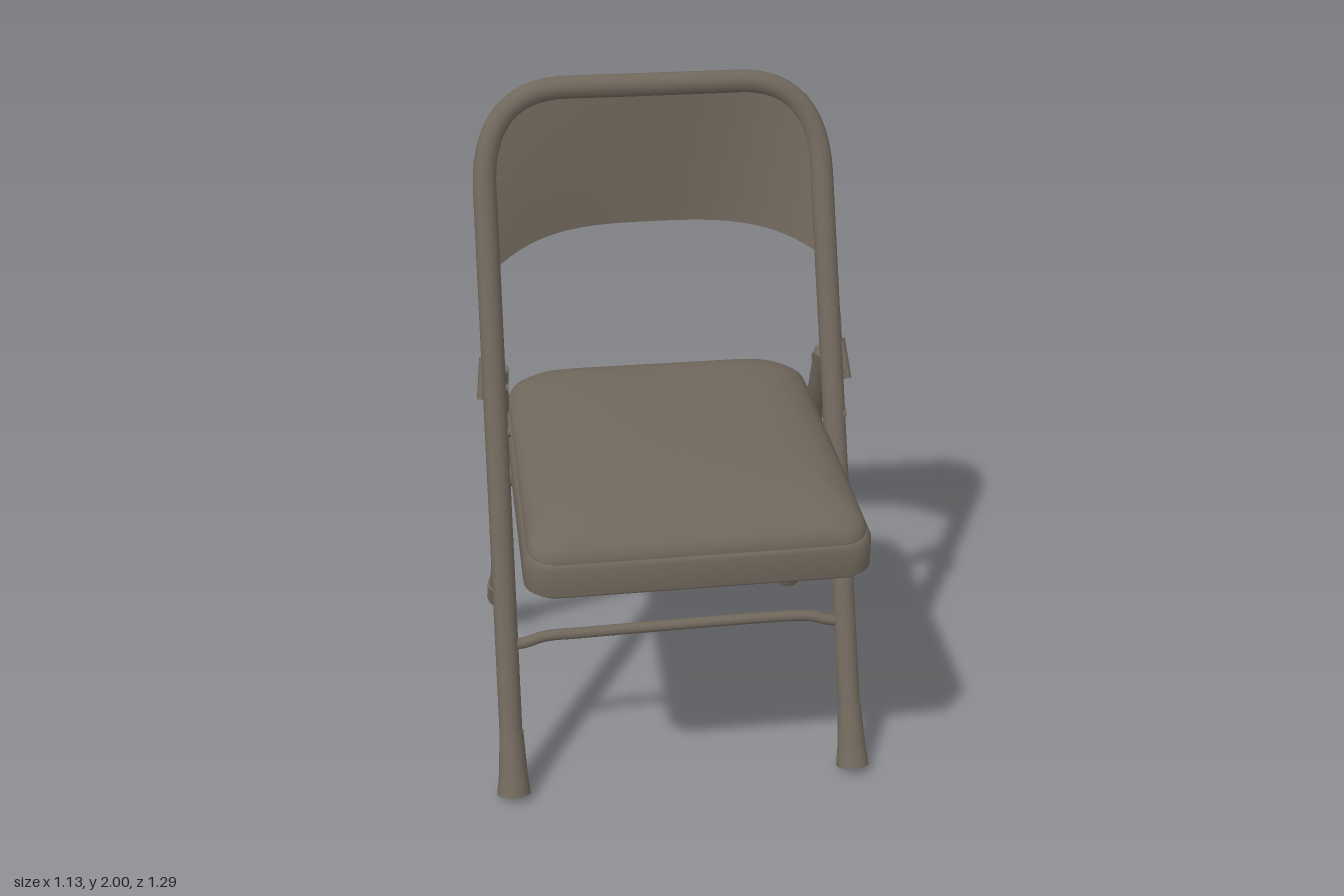
import * as THREE from 'three';

const paint = new THREE.MeshStandardMaterial({ color: 0x70675c, side: THREE.DoubleSide });
paint.name = 'brownGreyPaint';

const V = (x, y, z) => new THREE.Vector3(x, y, z);
const frameZ = (y) => 0.355 - 0.352 * y; // slanted plane of the main frame
const UP = V(0, 1, 0);

function add(parent, name, geometry) {
  const mesh = new THREE.Mesh(geometry, paint);
  mesh.name = name;
  parent.add(mesh);
  return mesh;
}

// Cylinder or cone between two points
function rod(parent, name, a, b, ra, rb = ra, sides = 16) {
  const mesh = add(parent, name, new THREE.CylinderGeometry(rb, ra, a.distanceTo(b), sides));
  mesh.position.copy(a).lerp(b, 0.5);
  mesh.quaternion.setFromUnitVectors(UP, b.clone().sub(a).normalize());
  return mesh;
}

// Flat strip in the side plane, with rounded ends
function strip(parent, name, x, a, b, half, thick) {
  const len = Math.hypot(b[0] - a[0], b[1] - a[1]);
  const s = new THREE.Shape();
  s.absarc(0, 0, half, Math.PI / 2, Math.PI * 1.5);
  s.absarc(len, 0, half, -Math.PI / 2, Math.PI / 2);
  s.closePath();
  const g = new THREE.ExtrudeGeometry(s, { depth: thick, bevelEnabled: false, curveSegments: 8 });
  g.translate(0, 0, -thick / 2);
  g.rotateZ(Math.atan2(b[1] - a[1], -(b[0] - a[0])));
  g.rotateY(Math.PI / 2); // local x now runs along -z
  g.translate(x, a[1], a[0]);
  return add(parent, name, g);
}

// Grid of points skinned into a smooth surface
function skin(rows) {
  const pos = [], idx = [], n = rows[0].length;
  rows.forEach((r) => r.forEach((p) => pos.push(p.x, p.y, p.z)));
  for (let i = 0; i < rows.length - 1; i++) {
    for (let j = 0; j < n - 1; j++) {
      const a = i * n + j, b = a + n;
      idx.push(a, b, a + 1, a + 1, b, b + 1);
    }
  }
  const g = new THREE.BufferGeometry();
  g.setAttribute('position', new THREE.Float32BufferAttribute(pos, 3));
  g.setIndex(idx);
  g.computeVertexNormals();
  return g;
}

// Rounded seat outline pulled in by an inset, at a height on the tilted seat
function seatRing(inset, h) {
  const pts = [], hx = 0.472 - inset, z0 = -0.378 + inset, z1 = 0.645 - inset;
  const corners = [[1, z1, 1, 0.08], [-1, z1, 1, 0.08], [-1, z0, -1, 0.12], [1, z0, -1, 0.12]];
  corners.forEach(([sx, zc, sz, rad], k) => {
    const r = Math.min(rad + inset * 0.3, hx);
    for (let i = 0; i <= 8; i++) {
      const a = (k + i / 8) * Math.PI / 2;
      const z = zc - sz * r + Math.sin(a) * r;
      pts.push(V(sx * (hx - r) + Math.abs(Math.cos(a)) * sx * r, h + 0.08 * (0.645 - z) / 1.02, z));
    }
  });
  pts.push(pts[0].clone());
  return pts;
}

export function createModel() {
  const chair = new THREE.Group();
  chair.name = 'foldingChair';

  // Main frame: one bent tube from foot to foot
  const P = (x, y) => V(x, y, frameZ(y));
  const path = new THREE.CurvePath();
  path.add(new THREE.LineCurve3(P(-0.517, 0.06), P(-0.5, 1.7)));
  path.add(new THREE.QuadraticBezierCurve3(P(-0.5, 1.7), P(-0.495, 1.967), P(-0.25, 1.967)));
  path.add(new THREE.LineCurve3(P(-0.25, 1.967), P(0.25, 1.967)));
  path.add(new THREE.QuadraticBezierCurve3(P(0.25, 1.967), P(0.485, 1.967), P(0.487, 1.7)));
  path.add(new THREE.LineCurve3(P(0.487, 1.7), P(0.515, 0.06)));
  add(chair, 'mainFrame', new THREE.TubeGeometry(path, 160, 0.034, 14));

  // Backrest: sheet that follows the front of the tube and bows backwards at its lower edge
  const topY = (x) => {
    const t = Math.max(0, (Math.abs(x) - 0.25) / 0.25);
    return 1.967 - 0.267 * (1 - Math.sqrt(Math.max(0, 1 - t * t)));
  };
  const lower = (s) => V(0.482 * s - 0.004, 1.48 + 0.08 * (1 - s ** 4),
    -0.18 - 0.14 * (1 - Math.abs(s) ** 2.5));
  const rows = [];
  for (let i = 0; i <= 10; i++) {
    const row = [];
    for (let j = 0; j <= 40; j++) {
      const s = j / 20 - 1, b = lower(s), y = topY(b.x);
      row.push(V(b.x, y + 0.006, frameZ(y) + 0.018).lerp(b, i / 10));
    }
    rows.push(row);
  }
  add(chair, 'backrestPanel', skin(rows));

  // Seat: pan with hollow underside, and a domed cushion
  const seat = new THREE.Group();
  seat.name = 'seat';
  chair.add(seat);
  const ringSkin = (list) => skin(list.map(([inset, h]) => seatRing(inset, h)));
  add(seat, 'seatPanWall', ringSkin([[0.008, 0.858], [0, 0.868], [0, 0.945], [0.012, 0.955]]));
  add(seat, 'seatRim', ringSkin([[0.04, 0.858], [0.008, 0.858]]));
  add(seat, 'seatRimInside', ringSkin([[0.05, 0.915], [0.04, 0.858]]));
  add(seat, 'seatUnderside', ringSkin([[0.472, 0.98], [0.3, 0.972], [0.16, 0.955], [0.05, 0.915]]));
  add(seat, 'seatCushion', ringSkin([[0.012, 0.95], [0.012, 0.968], [0.022, 0.99], [0.045, 1.012],
    [0.08, 1.032], [0.13, 1.048], [0.2, 1.058], [0.3, 1.065], [0.4, 1.068], [0.472, 1.069]]));

  // Front crossbar with slightly cranked ends
  const bar = new THREE.CatmullRomCurve3([[-0.5, 0.445], [-0.46, 0.448], [-0.4, 0.462], [-0.3, 0.464],
    [0.3, 0.468], [0.4, 0.464], [0.46, 0.448], [0.5, 0.443]].map(([x, y]) => P(x, y)));
  add(chair, 'frontCrossbar', new THREE.TubeGeometry(bar, 48, 0.017, 10));

  for (const s of [1, -1]) {
    const side = new THREE.Group();
    side.name = s > 0 ? 'leftSide' : 'rightSide';
    chair.add(side);

    // Front foot cap
    rod(side, 'frontFoot', P(s * 0.517, 0.018), P(s * 0.516, 0.075), 0.05, 0.043);
    rod(side, 'frontFootSleeve', P(s * 0.516, 0.075), P(s * 0.514, 0.2), 0.043, 0.035);

    // Rear leg and foot cap
    const hip = V(s * 0.488, 1.19, -0.135), ankle = V(s * 0.5, 0.2, -0.573);
    rod(side, 'rearLeg', ankle, hip, 0.033, 0.029);
    const down = ankle.clone().sub(hip).normalize();
    const heel = ankle.clone().addScaledVector(down, 0.075);
    rod(side, 'rearFoot', heel, ankle, 0.047, 0.045);
    rod(side, 'rearFootSleeve', ankle, ankle.clone().addScaledVector(down, -0.1), 0.038, 0.032);

    // Folding hinge: links, lug and pivots
    strip(side, 'lowerLink', s * 0.518, [-0.01, 1.035], [-0.18, 1.145], 0.024, 0.018);
    strip(side, 'upperLink', s * 0.518, [-0.055, 1.15], [-0.135, 1.23], 0.022, 0.018);
    strip(side, 'hipLink', s * 0.518, [-0.135, 1.23], [-0.185, 1.15], 0.022, 0.018);
    rod(side, 'hingeLug', V(s * 0.545, 1.13, -0.055), V(s * 0.528, 1.24, -0.105), 0.013, 0.016, 8);
    strip(side, 'frameBracket', s * 0.518, [-0.055, 1.15], [-0.115, 1.31], 0.018, 0.02);
    strip(side, 'seatBracket', s * 0.468, [0.05, 0.925], [-0.02, 0.918], 0.026, 0.016);
    for (const [y, z] of [[1.04, -0.012], [1.15, -0.18], [1.16, -0.06]]) {
      rod(side, 'pivot', V(s * 0.465, y, z), V(s * 0.534, y, z), 0.014, 0.014, 10);
    }
  }
  return chair;
}
